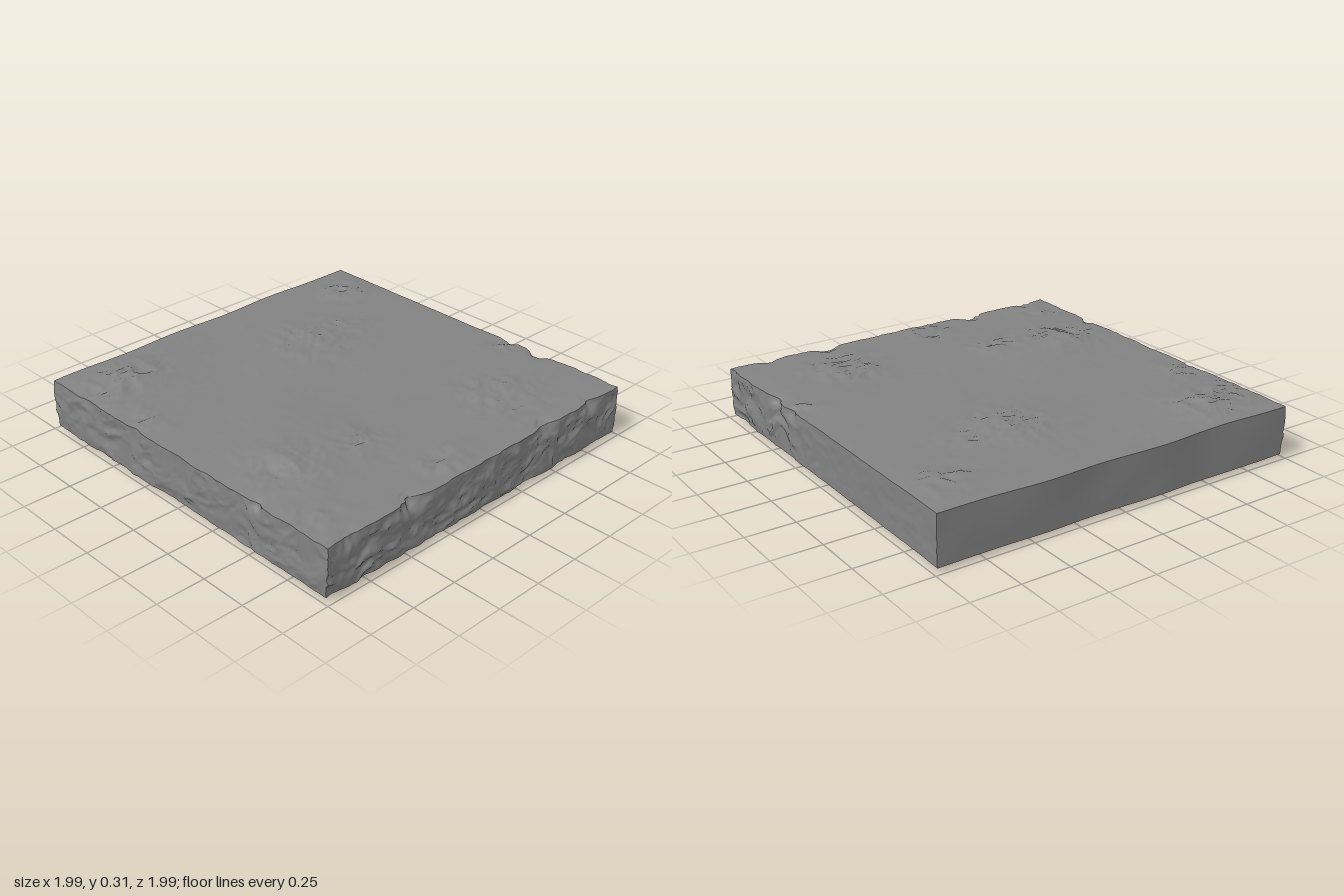
import * as THREE from 'three';

// Seeded smooth value noise, about -1..1
function hash(i, j, s) {
  let h = Math.imul(i, 374761393) ^ Math.imul(j, 668265263) ^ Math.imul(s, 974634777);
  h = Math.imul(h ^ (h >>> 13), 1274126177);
  return ((h ^ (h >>> 16)) >>> 0) / 2147483648 - 1;
}
function noise(x, y, s) {
  const i = Math.floor(x), j = Math.floor(y);
  const fade = t => t * t * (3 - 2 * t);
  const u = fade(x - i), v = fade(y - j), mix = THREE.MathUtils.lerp;
  return mix(mix(hash(i, j, s), hash(i + 1, j, s), u), mix(hash(i, j + 1, s), hash(i + 1, j + 1, s), u), v);
}

// Creased rock: warped ridges elongated along u
function crumple(u, v, s) {
  const w = v + 0.06 * noise(u * 7, v * 7, s + 5);
  let sum = 0, amp = 1, f = 6.5;
  for (let k = 0; k < 3; k++, amp *= 0.6, f *= 2) sum += amp * (0.5 - Math.abs(noise(u * f, w * f * 1.6, s + k)));
  return sum;
}
const bump = (d2, r) => Math.exp(-d2 / (r * r));

// Weathered patches on the broad faces: x, z, radius, strength
const patches = [
  [-0.67, -0.76, 0.16, 1], [-0.93, -0.72, 0.12, 1], [-0.94, -0.36, 0.13, 0.9], [0.8, -0.76, 0.13, 1],
  [0.22, -0.42, 0.17, 0.9], [0.48, -0.48, 0.11, 0.6], [-0.7, 0.4, 0.17, 1], [-0.3, 0.47, 0.12, 0.8],
  [0.5, 0.64, 0.17, 1], [-0.15, 0.87, 0.12, 0.9], [-0.87, 0.78, 0.1, 0.6], [0.93, 0.32, 0.09, 0.8],
];
// Broad swells: x, z, radius, height
const topSwells = [
  [-0.66, 0.36, 0.22, 0.018], [-0.42, 0.32, 0.2, 0.013], [-0.65, -0.72, 0.25, 0.012],
  [0.2, -0.45, 0.28, 0.008], [0.5, 0.6, 0.25, 0.006], [0.8, -0.75, 0.16, 0.006],
];
const baseSwells = [[-0.4, 0.5, 0.2, 0.012], [-0.3, -0.2, 0.2, 0.013], [0.25, -0.3, 0.2, 0.006], [0.6, 0.6, 0.2, 0.004]];
// Soft waves along the back: x, radius, depth
const backWaves = [[-0.85, 0.18, 0.012], [-0.22, 0.22, 0.02], [0.42, 0.19, 0.018]];
// Chips broken out of the upper edges: x, y, z, radius, depth
const chips = [
  [-0.85, 0.275, 0.975, 0.05, 0.018], [-0.47, 0.275, 0.975, 0.055, 0.034], [0.44, 0.275, 0.975, 0.05, 0.034],
  [0.77, 0.275, 0.975, 0.05, 0.014], [0.98, 0.275, 0.49, 0.05, 0.024], [0.98, 0.275, 0.3, 0.04, 0.012],
  [-0.98, 0.275, 0.52, 0.04, 0.02], [-0.98, 0.275, -0.32, 0.05, 0.01],
];

const HX = 0.98, HZ = 0.978, Y0 = 0.026, Y1 = 0.276;

// Outward relief of the top or underside
function broadRelief(x, z, swells, s) {
  const edge = THREE.MathUtils.smoothstep(Math.min(HX - Math.abs(x), HZ - Math.abs(z)), -0.02, 0.07);
  let h = 0.004 * noise(x * 2.5, z * 2.5, s + 9) + 0.002, rough = 0.06;
  for (const [a, b, r, k] of swells) h += k * bump((x - a) ** 2 + (z - b) ** 2, r);
  for (const [a, b, r, k] of patches) rough += k * bump((x - a) ** 2 + (z - b) ** 2, r);
  h += 0.023 * Math.min(rough, 1) * crumple(x, z, s);
  return h * (0.2 + 0.8 * edge);
}

// Outward relief of a side; rough is 0..1, along runs across the side
function sideRelief(along, y, rough, s) {
  const edge = THREE.MathUtils.smoothstep(Math.min(y - Y0, Y1 - y), -0.04, 0.04);
  return (0.004 * noise(along * 3, y * 3, s) + 0.02 * rough * crumple(along, y, s + 3)) * edge
    + 0.005 * rough * noise(along * 14, y * 8, s + 8) - 0.002;
}

function weather(p) {
  const { x, y, z } = p, eps = 1e-4;
  const frontward = THREE.MathUtils.smoothstep(z, -0.1, 0.6);
  if (y > Y1 - eps) p.y += broadRelief(x, z, topSwells, 1);
  if (y < Y0 + eps) p.y -= 0.8 * broadRelief(x, z, baseSwells, 40);
  if (z > HZ - eps) p.z += sideRelief(x, y, 1, 70);
  if (z < -HZ + eps) {
    p.z -= 0.002 + 0.003 * noise(x * 5, y * 6, 60);
    for (const [a, r, k] of backWaves) p.z -= k * bump((x - a) ** 2, r) * (0.3 + 2.5 * (y - Y0));
  }
  if (x > HX - eps) p.x += sideRelief(z, y, 0.2 + 0.7 * frontward, 100);
  if (x < -HX + eps) p.x -= sideRelief(z, y, 0.75, 130);
  for (const [a, b, c, r, depth] of chips) {
    const k = depth * bump((x - a) ** 2 + (y - b) ** 2 + (z - c) ** 2, r) * (1 + 0.5 * noise(x * 40, z * 40, 160));
    p.y -= 0.35 * k;
    if (Math.abs(a) > 0.9) p.x -= Math.sign(a) * k;
    else p.z -= k;
  }
}

export function createModel() {
  const group = new THREE.Group();
  group.name = 'stoneSlab';

  // Dense box whose sides are pushed out and chipped; edges stay sharp
  const geometry = new THREE.BoxGeometry(2 * HX, Y1 - Y0, 2 * HZ, 165, 22, 165);
  geometry.translate(0, (Y0 + Y1) / 2, 0);
  const pos = geometry.attributes.position, p = new THREE.Vector3();
  for (let i = 0; i < pos.count; i++) {
    p.fromBufferAttribute(pos, i);
    weather(p);
    pos.setXYZ(i, p.x, p.y, p.z);
  }
  geometry.computeVertexNormals();

  // Seat the slab on the ground, centred
  geometry.computeBoundingBox();
  const c = geometry.boundingBox.getCenter(new THREE.Vector3());
  geometry.translate(-c.x, -geometry.boundingBox.min.y, -c.z);

  const slab = new THREE.Mesh(geometry, new THREE.MeshStandardMaterial({ color: 0x828282 }));
  slab.name = 'slab';
  group.add(slab);
  return group;
}
